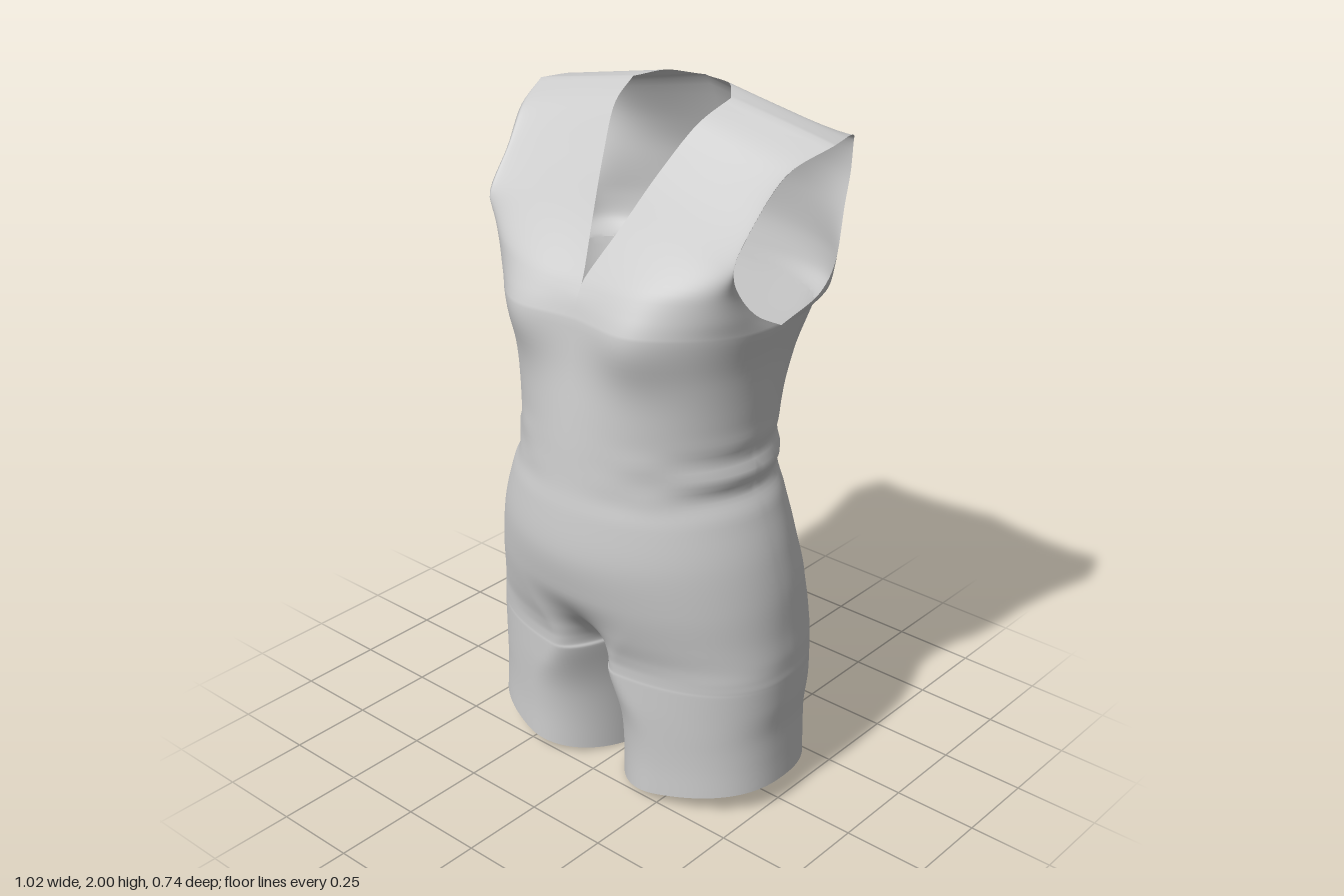
import * as THREE from 'three';
import { mergeGeometries, mergeVertices } from 'three/addons/utils/BufferGeometryUtils.js';

const COLS = 44, SUB = 6, CROTCH = 0.39;

// Legs to armpit: y, half width, front z, back z, side z, front roundness, back roundness, leg split
const body = [
  [0.00, 0.505, 0.283, -0.312, -0.01, 2.4, 2.4, 1],
  [0.10, 0.500, 0.281, -0.318, -0.01, 2.4, 2.4, 1],
  [0.20, 0.497, 0.283, -0.325, -0.01, 2.4, 2.4, 1],
  [0.31, 0.503, 0.288, -0.342, -0.01, 2.3, 2.4, 1],
  [0.39, 0.504, 0.288, -0.356, -0.01, 2.3, 2.3, 1],
  [0.405, 0.504, 0.287, -0.358, -0.01, 2.3, 2.3, 0.8],
  [0.43, 0.502, 0.288, -0.360, -0.01, 2.3, 2.3, 0.55],
  [0.47, 0.500, 0.298, -0.360, -0.01, 2.2, 2.3, 0.3],
  [0.54, 0.492, 0.324, -0.356, -0.01, 2.1, 2.3, 0.1],
  [0.65, 0.482, 0.355, -0.346, -0.01, 2.0, 2.2, 0],
  [0.78, 0.458, 0.375, -0.318, 0.00, 1.9, 2.2, 0],
  [0.90, 0.420, 0.365, -0.300, 0.00, 1.9, 2.2, 0],
  [0.98, 0.388, 0.352, -0.296, 0.00, 1.9, 2.2, 0],
  [1.10, 0.384, 0.340, -0.298, 0.00, 1.9, 2.2, 0],
  [1.20, 0.390, 0.328, -0.310, -0.01, 2.0, 2.2, 0],
  [1.32, 0.402, 0.312, -0.332, -0.02, 2.2, 2.4, 0],
  [1.45, 0.432, 0.300, -0.355, -0.03, 2.5, 2.8, 0],
];
const lower = (z, p) => body.map((r) => [0, r[0], r[z], r[1], r[0], r[4], r[p], 1 / r[p], r[7]]);

// Yokes: neck edge point, armhole edge point, profile exponents, split
const frontYoke = [
  [0, 1.45, 0.300, 0.432, 1.45, -0.03, 2.5, 0.40, 0],
  [0, 1.50, 0.285, 0.422, 1.50, 0.06, 2.5, 0.42, 0],
  [0, 1.54, 0.265, 0.416, 1.57, 0.125, 2.5, 0.45, 0],
  [0.05, 1.68, 0.168, 0.432, 1.66, 0.172, 2.4, 0.45, 0],
  [0.10, 1.82, 0.070, 0.442, 1.78, 0.09, 2.3, 0.45, 0],
  [0.148, 1.94, -0.035, 0.470, 1.88, 0.0, 2.3, 0.45, 0],
  [0.170, 1.985, -0.130, 0.510, 1.925, -0.12, 2, 0.5, 0],
];
const backYoke = [
  [0, 1.45, -0.355, 0.432, 1.45, -0.03, 2.8, 0.357, 0],
  [0, 1.52, -0.364, 0.444, 1.50, -0.18, 2.8, 0.45, 0],
  [0, 1.60, -0.370, 0.440, 1.57, -0.25, 3.0, 0.75, 0],
  [0, 1.72, -0.352, 0.434, 1.70, -0.285, 3.5, 1.3, 0],
  [0, 1.84, -0.310, 0.440, 1.81, -0.30, 3.5, 1.3, 0],
  [0, 2.00, -0.230, 0.452, 1.90, -0.29, 2.5, 0.8, 0],
  [0.10, 2.00, -0.204, 0.490, 1.925, -0.20, 2, 0.5, 0],
  [0.170, 1.985, -0.130, 0.510, 1.925, -0.12, 2, 0.5, 0],
];

// Smooth interpolation of rows without overshoot
function sampleRows(rows) {
  const out = [], last = rows.length - 1;
  const slope = (i, c) => {
    if (i === 0) return rows[1][c] - rows[0][c];
    if (i === last) return rows[last][c] - rows[last - 1][c];
    const a = rows[i][c] - rows[i - 1][c], b = rows[i + 1][c] - rows[i][c];
    return a * b > 0 ? (2 * a * b) / (a + b) : 0;
  };
  for (let i = 0; i < last; i++) {
    for (let j = i ? 1 : 0; j <= SUB; j++) {
      const t = j / SUB, t2 = t * t, t3 = t2 * t;
      out.push(rows[i].map((v, c) =>
        v * (2 * t3 - 3 * t2 + 1) + rows[i + 1][c] * (3 * t2 - 2 * t3) +
        slope(i, c) * (t3 - 2 * t2 + t) + slope(i + 1, c) * (t3 - t2)));
    }
  }
  return out;
}

const bump = (x, y, cx, cy, rx, ry) => Math.exp(-(((x - cx) / rx) ** 2) - ((y - cy) / ry) ** 2);

// One point on a panel; s runs from the centre line to the side seam
function panelPoint([ix, iy, iz, ox, oy, oz, p, q, split], s, side) {
  const u = (1 - Math.cos(Math.PI * s)) / 2;
  let x = ix + (ox - ix) * u, y = iy + (oy - iy) * u;
  const round = Math.pow(Math.max(0, 1 - Math.pow(u, p)), q);
  // groove that closes each leg along its inseam, narrowest at the crotch
  const reach = 0.25 - 0.13 * bump(0, y, 0, 0.42, 1, 0.15);
  const k = x < reach ? 1 - (1 - x / reach) ** 2 : 1;
  const groove = 1 - split * (1 - Math.pow(Math.max(0, k), 2 - 1.5 * split));
  let z = oz + (iz - oz) * round * groove;

  // bust, seat and hollow of the back
  const relief = side > 0
    ? 0.04 * bump(x, y, 0.2, 1.43, 0.12, 0.12)
    : 0.02 * bump(x, y, 0.19, 0.54, 0.13, 0.16) - 0.012 * bump(x, y, 0, 1.15, 0.1, 0.25);
  z += side * relief * (1 - u ** 6) * (1 - split);

  // gathered cloth at the waist
  const gather = bump(0, y, 0, 1.03, 1, 0.075);
  x += 0.011 * gather * u ** 4 * Math.sin((y - 1.0) * 58);
  const fold = Math.sin(y * 62 + x * 17) + 0.6 * Math.sin(y * 41 - x * 26);
  z += side * 0.006 * gather * fold * (1 - u ** 6) * (side > 0 ? u * u : 0.6 + 0.4 * u);

  // slanted hem and narrow gap between the legs
  if (y < CROTCH) {
    const low = 1 - y / CROTCH;
    x += 0.005 * low * (1 - u);
    y += 0.072 * u * low;
  }
  return [x, y, z];
}

function panel(rows, side, mirror) {
  const grid = sampleRows(rows), pos = [], index = [];
  for (const row of grid) {
    for (let c = 0; c <= COLS; c++) {
      const [x, y, z] = panelPoint(row, c / COLS, side);
      pos.push(x * mirror, y, z);
    }
  }
  for (let r = 0; r < grid.length - 1; r++) {
    for (let c = 0; c < COLS; c++) {
      const a = r * (COLS + 1) + c, b = a + 1, d = a + COLS + 1, e = d + 1;
      if (side * mirror > 0) index.push(a, b, e, a, e, d);
      else index.push(a, e, b, a, d, e);
    }
  }
  const geo = new THREE.BufferGeometry();
  geo.setAttribute('position', new THREE.Float32BufferAttribute(pos, 3));
  geo.setIndex(index);
  return geo;
}

export function createModel() {
  const panels = [];
  for (const mirror of [1, -1]) {
    panels.push(panel(lower(2, 5), 1, mirror), panel(lower(3, 6), -1, mirror));
    panels.push(panel(frontYoke, 1, mirror), panel(backYoke, -1, mirror));
  }
  // sew the panels into one smooth garment
  const geometry = mergeVertices(mergeGeometries(panels), 1e-4);
  geometry.computeVertexNormals();
  const material = new THREE.MeshStandardMaterial({ color: 0xcccccc, side: THREE.DoubleSide });
  const garment = new THREE.Mesh(geometry, material);
  garment.name = 'sleevelessRomper';
  const group = new THREE.Group();
  group.name = 'romper';
  group.add(garment);
  return group;
}
